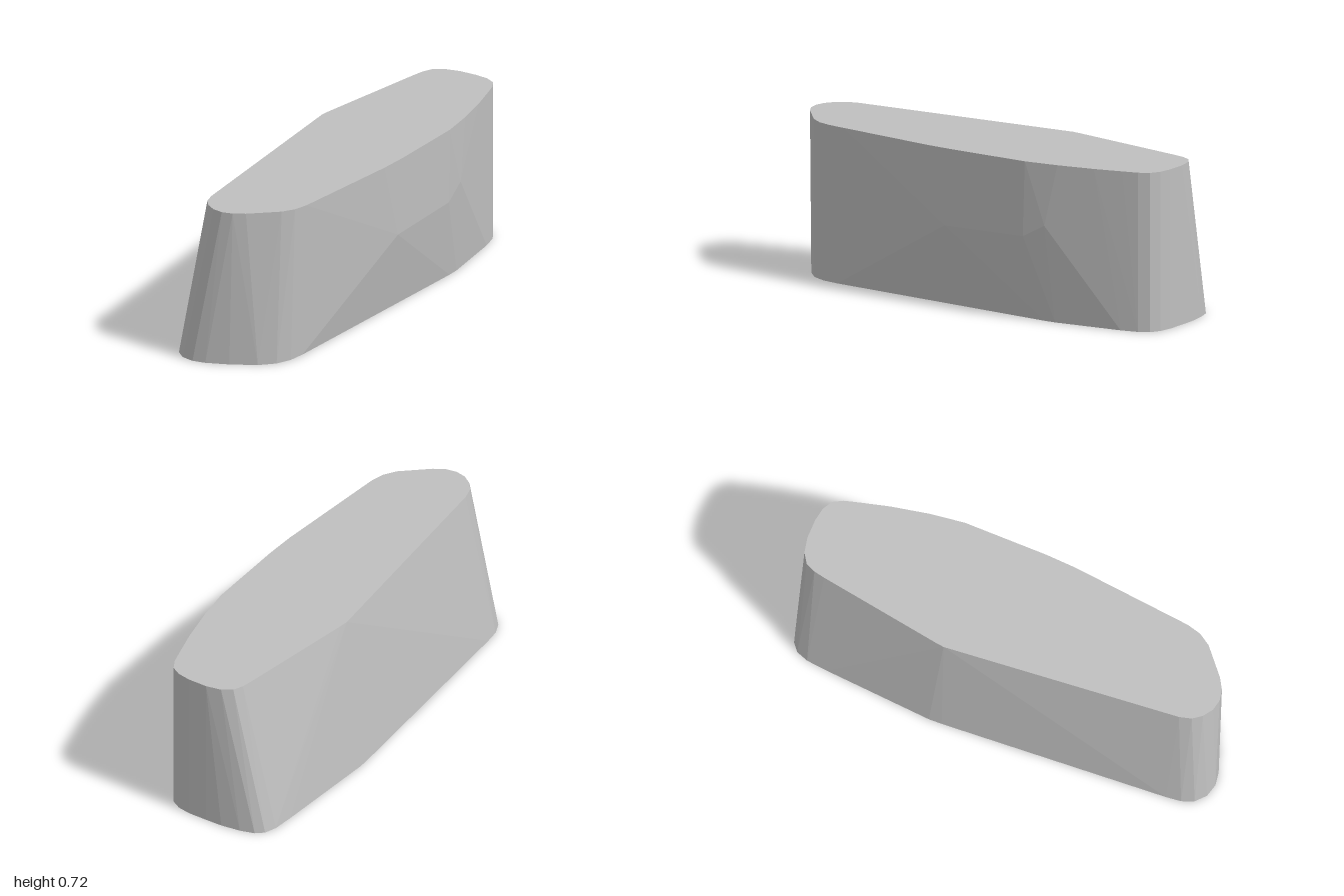
import * as THREE from 'three';
import { ConvexGeometry } from 'three/addons/geometries/ConvexGeometry.js';

const HEIGHT = 0.72;

// Outlines as [x, z], running from the left-hand kink round the back to the front
const TOP = [
  [-0.24, -0.25], [-0.235, -0.29], [-0.145, -0.86], [-0.135, -0.91], [-0.115, -0.955], [-0.07, -0.985], [0, -1],
  [0.09, -1], [0.15, -0.99], [0.195, -0.965], [0.22, -0.92], [0.24, -0.85], [0.275, -0.72],
  [0.31, -0.55], [0.332, -0.39], [0.333, 0], [0.327, 0.14], [0.28, 0.62],
  [0.272, 0.7], [0.255, 0.765], [0.22, 0.82], [0.1, 0.925], [0.05, 0.955], [0, 0.965],
  [-0.05, 0.955], [-0.095, 0.925], [-0.125, 0.885], [-0.14, 0.83], [-0.235, -0.21],
];
const BOTTOM = [
  [-0.335, -0.28], [-0.3, -0.78], [-0.29, -0.88], [-0.27, -0.935], [-0.235, -0.965], [-0.17, -0.985], [-0.08, -0.998],
  [0, -1], [0.09, -1], [0.15, -0.99], [0.195, -0.965], [0.22, -0.92], [0.24, -0.84],
  [0.285, -0.52], [0.286, -0.46], [0.24, 0.68], [0.23, 0.76], [0.2, 0.83], [0.14, 0.89],
  [0.03, 0.95], [-0.07, 0.99], [-0.13, 1], [-0.19, 0.985], [-0.235, 0.945],
  [-0.258, 0.89], [-0.266, 0.82], [-0.333, -0.22],
];
// Slight bulge half way up the +x side: [x, y, z]
const BULGE = [[0.333, 0.37, 0.04], [0.333, 0.38, -0.38], [0.325, 0.44, -0.49]];

export function createModel() {
  const stone = new THREE.MeshStandardMaterial({ color: 0xbfbfbf });
  stone.name = 'plain grey';

  // The faceted body wraps tightly round both outlines and the bulge
  const points = [
    ...TOP.map(([x, z]) => new THREE.Vector3(x, HEIGHT, z)),
    ...BOTTOM.map(([x, z]) => new THREE.Vector3(x, 0, z)),
    ...BULGE.map((p) => new THREE.Vector3(...p)),
  ];
  const body = new THREE.Mesh(new ConvexGeometry(points), stone);
  body.name = 'leaningBlock';

  const group = new THREE.Group();
  group.name = 'roundedLeaningBlock';
  group.add(body);
  return group;
}
